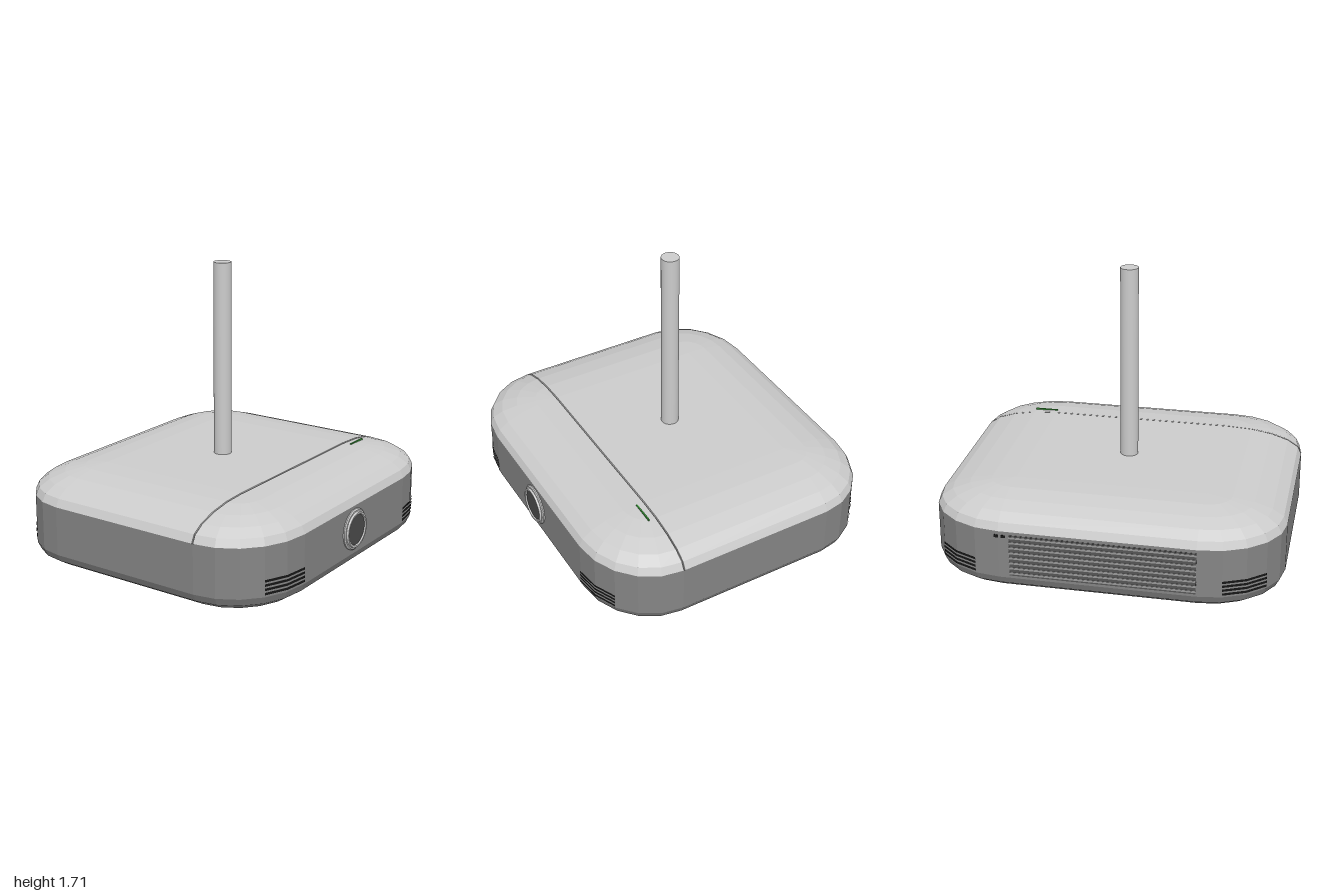
import * as THREE from 'three';

const STEPS = 5;                 // facets per rounded corner
const CZ = 0.55, RZ = 0.45;      // corner centre and radius along z
const LEFT = { c: -0.49, r: 0.393 }, RIGHT = { c: 0.455, r: 0.405 };
const SEAM_A = { c: 0.448, r: 0 }, SEAM_B = { c: 0.463, r: 0 };

const mat = (color = 0xcccccc, extra = {}) => new THREE.MeshStandardMaterial({ color, ...extra });
const flat = (color) => mat(color, { flatShading: true });
const GREY = 0xcccccc, DARK = 0x858585, BLACK = 0x161616;

// Point on a rounded-rectangle outline: corner 0..3, step 0..STEPS, radius factor f
function outline(lo, hi, corner, k, f, rz = RZ) {
  const a = (corner + k / STEPS) * Math.PI / 2;
  const side = corner === 0 || corner === 3 ? hi : lo;
  const cz = corner < 2 ? CZ : -CZ;
  return [side.c + side.r * f * Math.cos(a), cz + rz * f * Math.sin(a)];
}

// Closed solid from rounded-rectangle rings; profile holds [radius factor, y]
function loft(lo, hi, profile, rz) {
  const pos = [], idx = [], n = 4 * (STEPS + 1), mid = (lo.c + hi.c) / 2;
  for (const [f, y] of profile)
    for (let c = 0; c < 4; c++)
      for (let k = 0; k <= STEPS; k++) {
        const [x, z] = outline(lo, hi, c, k, f, rz);
        pos.push(x, y, z);
      }
  const rows = profile.length, base = rows * n, top = (rows - 1) * n;
  pos.push(mid, profile[0][1], 0, mid, profile[rows - 1][1], 0);
  for (let j = 0; j < n; j++) {
    const k = (j + 1) % n;
    for (let i = 0; i < rows - 1; i++) {
      const a = i * n + j, b = i * n + k;
      idx.push(a, a + n, b, b, a + n, b + n);
    }
    idx.push(base, j, k, base + 1, top + k, top + j);
  }
  const g = new THREE.BufferGeometry();
  g.setAttribute('position', new THREE.Float32BufferAttribute(pos, 3));
  g.setIndex(idx);
  const out = g.toNonIndexed();
  out.computeVertexNormals();
  return out;
}

// Quarter-round profile; up = 1 closes the top, -1 closes the bottom
function quarter(y, h, up) {
  const pts = [];
  for (let i = 0; i <= STEPS; i++) {
    const a = i / STEPS * Math.PI / 2;
    pts.push([Math.cos(a), y + up * h * Math.sin(a)]);
  }
  return up > 0 ? pts : pts.reverse();
}

// Thin band following a body corner between two facet steps
function cornerSlit(corner, k0, k1, y, h) {
  const pos = [], idx = [];
  for (let k = k0; k <= k1; k++) {
    const [x, z] = outline(LEFT, RIGHT, corner, k, 1.01);
    pos.push(x, y - h / 2, z, x, y + h / 2, z);
    const i = (k - k0) * 2;
    if (k < k1) idx.push(i, i + 1, i + 2, i + 2, i + 1, i + 3);
  }
  const g = new THREE.BufferGeometry();
  g.setAttribute('position', new THREE.Float32BufferAttribute(pos, 3));
  g.setIndex(idx);
  g.computeVertexNormals();
  return g;
}

export function createModel() {
  const model = new THREE.Group();
  model.name = 'device';
  const add = (name, geo, material, x = 0, y = 0, z = 0, parent = model) => {
    const m = new THREE.Mesh(geo, material);
    m.name = name;
    m.position.set(x, y, z);
    parent.add(m);
    return m;
  };
  const box = (name, w, h, d, color, x, y, z, parent) =>
    add(name, new THREE.BoxGeometry(w, h, d), mat(color), x, y, z, parent);

  // Lower case, and the lid in two parts with a seam between them
  add('lowerCase', loft(LEFT, RIGHT, [...quarter(0.145, 0.143, -1), [1, 0.43]]), flat(DARK));
  add('lidMain', loft(LEFT, SEAM_A, quarter(0.43, 0.145, 1)), flat(GREY));
  add('lidSide', loft(SEAM_B, RIGHT, quarter(0.43, 0.143, 1)), flat(GREY));
  add('seamFiller', loft(SEAM_A, SEAM_B, quarter(0.43, 0.13, 1), RZ - 0.008), flat(DARK));

  // Upright rod
  add('rod', new THREE.CylinderGeometry(0.052, 0.052, 1.155, 32), mat(), -0.045, 1.1375, 0.02);

  // Round port on the side: stepped ring with a dark lens
  const port = new THREE.Group();
  port.name = 'port';
  port.position.set(0.855, 0.292, 0.025);
  port.rotation.z = -Math.PI / 2;
  model.add(port);
  const ring = [[0.12, 0], [0.12, 0.012], [0.113, 0.018], [0.105, 0.018],
    [0.102, 0.03], [0.092, 0.03], [0.088, 0.02]].map(([r, y]) => new THREE.Vector2(r, y));
  add('portRing', new THREE.LatheGeometry(ring, 40),
    mat(GREY, { side: THREE.DoubleSide, flatShading: true }), 0, 0, 0, port);
  add('portLens', new THREE.CylinderGeometry(0.09, 0.09, 0.022, 40), mat(0x4a4a4a), 0, 0.011, 0, port);

  // Four slits around every corner; mirrored corners count their steps backwards
  const black = mat(BLACK, { side: THREE.DoubleSide });
  const corners = [[0, 0, 2], [1, 2, 4], [2, 1, 3], [3, 3, 5]];
  for (const [corner, k0, k1] of corners) {
    const vent = new THREE.Group();
    vent.name = 'cornerVent';
    model.add(vent);
    for (let i = 0; i < 4; i++)
      add('ventSlit', cornerSlit(corner, k0, k1, 0.165 + i * 0.024, 0.014), black, 0, 0, 0, vent);
  }

  // Slatted grille on the far side
  const grille = new THREE.Group();
  grille.name = 'grille';
  model.add(grille);
  box('grillePanel', 0.01, 0.25, 1.04, 0x555555, -0.88, 0.285, 0.03, grille);
  for (let i = 0; i < 8; i++)
    box('grilleSlat', 0.012, 0.012, 1.04, 0x999999, -0.881, 0.175 + i * 0.0315, 0.03, grille);

  // Small sockets beside the grille
  for (const z of [-0.56, -0.52])
    box('socket', 0.01, 0.016, 0.025, BLACK, -0.88, 0.4, z);

  // Green indicator strip on the lid
  box('indicator', 0.008, 0.02, 0.14, 0x3a9a3a, 0.497, 0.566, -0.62);

  return model;
}
